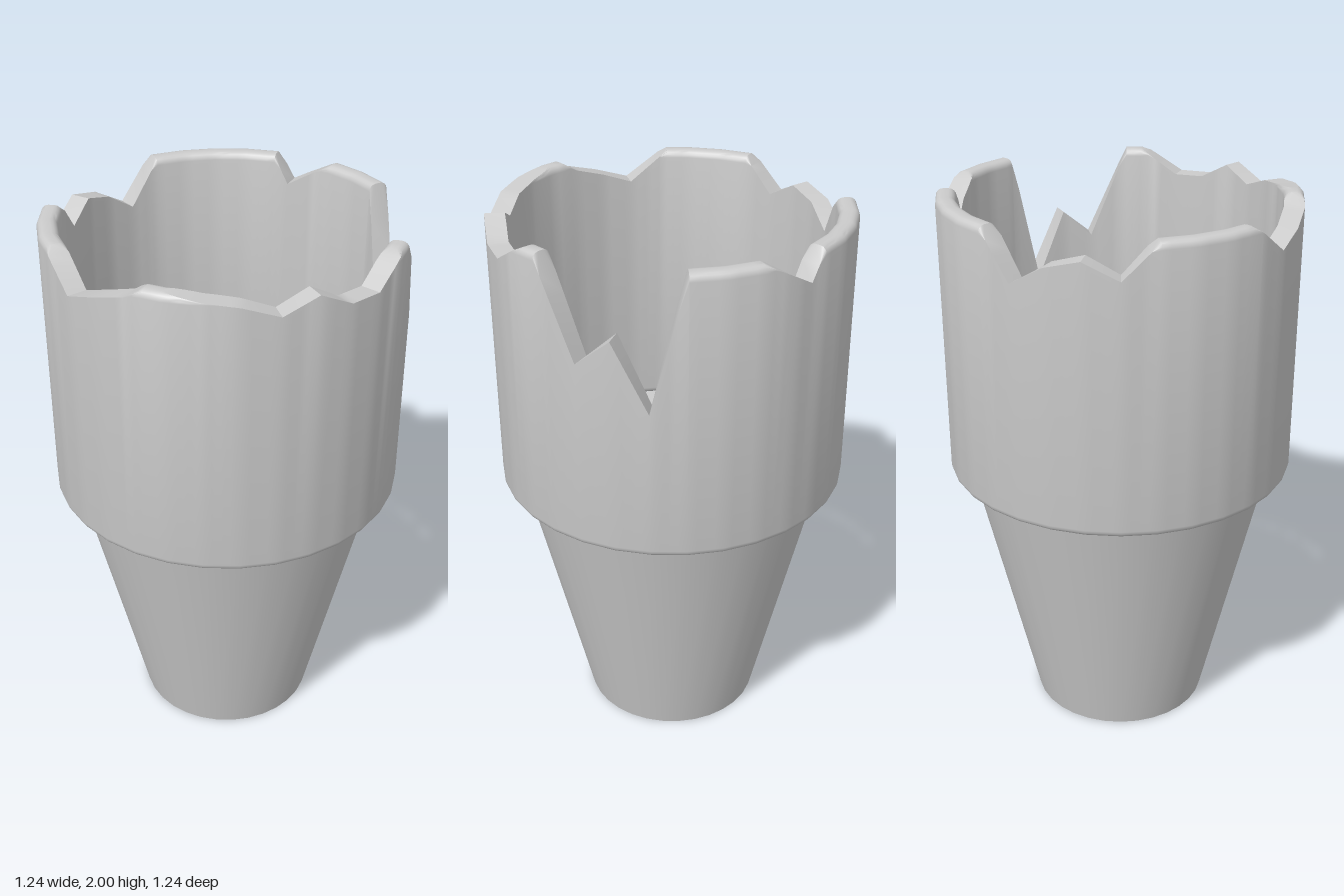
import * as THREE from 'three';
import { toCreasedNormals } from 'three/addons/utils/BufferGeometryUtils.js';

const SIDES = 32, SUB = 4, COLS = SIDES * SUB;
const OUTER = 0.625, INNER = 0.555, BASE = 0.99, TOP = 2, BEVEL = 0.025;

// Broken rim: [side number, height], straight between the points
const RIM = [
  [0, 1.965], [0.5, 2], [1, 2], [3, 1.97], [4, 1.93], [5, 1.98], [6, 1.92], [7, 1.915],
  [8, 1.985], [8.25, 2], [8.75, 2], [10, 1.67], [11, 1.77], [12, 1.53], [13, 2], [15, 2],
  [16.5, 1.9], [17, 2], [21, 2], [22, 1.84], [23, 1.91], [24, 1.94], [25, 1.88], [26, 2],
  [28.75, 2], [30, 1.89], [31, 1.93], [32, 1.965],
];

function rimHeight(k) {
  const i = RIM.findIndex((p, n) => n > 0 && k <= p[0]);
  const [a, b] = [RIM[i - 1], RIM[i]];
  return THREE.MathUtils.mapLinear(k, a[0], b[0], a[1], b[1]);
}

// How far a wall is drawn in at height y by the rounded edges
function inset(y) {
  const d = Math.max(0, y - (TOP - BEVEL), BASE + BEVEL - y);
  return BEVEL - Math.sqrt(Math.max(0, BEVEL * BEVEL - d * d));
}

// Closed wall section from the outer bottom, over the rim, to the inner bottom
function section(h) {
  const ys = [];
  for (let i = 0; i <= 4; i++) ys.push(BASE + BEVEL * (1 - Math.cos(i * Math.PI / 8)));
  const start = Math.min(h, TOP - BEVEL);
  for (let i = 0; i <= 4; i++) ys.push(start + (h - start) * Math.sin(i * Math.PI / 8));
  const outside = ys.map((y) => [OUTER - inset(y), y]);
  const inside = ys.map((y) => [INNER + inset(y), y]).reverse();
  return [...outside, ...inside];
}

function sleeveGeometry() {
  const columns = [];
  for (let c = 0; c < COLS; c++) {
    const k = c / SUB, step = 2 * Math.PI / SIDES;
    const angle = (k + 0.5) * step;
    // Keep the in-between columns on the flat sides
    const flat = Math.cos(step / 2) / Math.cos((k % 1 - 0.5) * step);
    columns.push(section(rimHeight(k)).map(([r, y]) =>
      new THREE.Vector3(r * flat * Math.sin(angle), y, r * flat * Math.cos(angle))));
  }
  const pos = [];
  const tri = (a, b, c) => {
    if (new THREE.Triangle(a, b, c).getArea() > 1e-9) {
      for (const p of [a, b, c]) pos.push(p.x, p.y, p.z);
    }
  };
  columns.forEach((a, c) => {
    const b = columns[(c + 1) % COLS], n = a.length;
    for (let i = 0; i < n; i++) {
      const j = (i + 1) % n;
      tri(a[i], b[i], b[j]);
      tri(a[i], b[j], a[j]);
    }
  });
  const g = new THREE.BufferGeometry();
  g.setAttribute('position', new THREE.Float32BufferAttribute(pos, 3));
  return toCreasedNormals(g, 0.55);
}

export function createModel() {
  const material = new THREE.MeshStandardMaterial({ color: 0xcccccc });
  const group = new THREE.Group();
  group.name = 'brokenCup';

  // Tapered foot, whose top is the floor of the cup
  const foot = new THREE.Mesh(new THREE.CylinderGeometry(0.555, 0.325, 1, SIDES), material);
  foot.name = 'taperedFoot';
  foot.position.y = 0.5;
  foot.rotation.y = Math.PI / SIDES;
  group.add(foot);

  // Thick sleeve with the jagged rim
  const sleeve = new THREE.Mesh(sleeveGeometry(), material);
  sleeve.name = 'jaggedSleeve';
  group.add(sleeve);

  return group;
}
